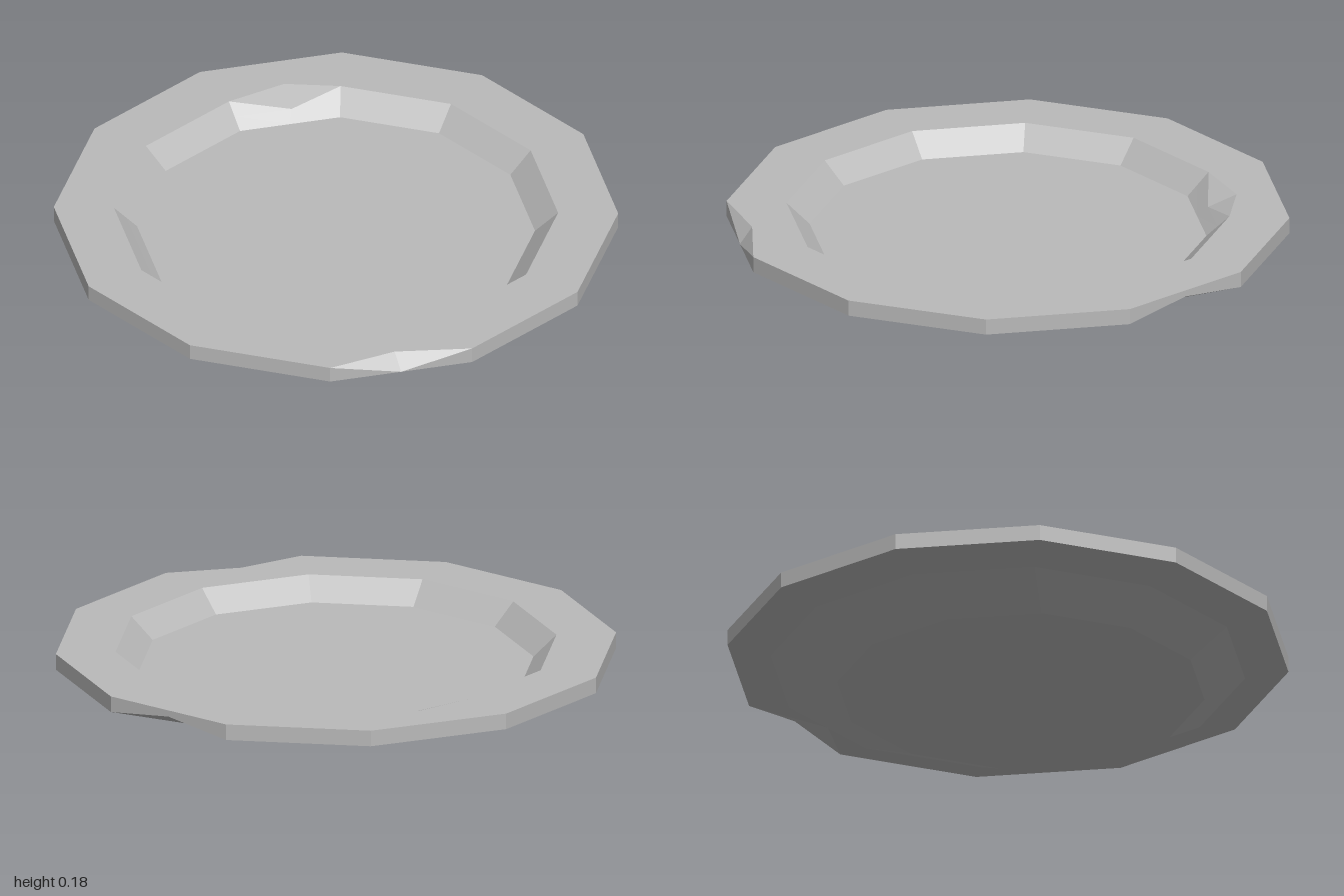
import * as THREE from 'three';

const SIDES = 12;
const COUNT = SIDES * 2; // corners plus edge midpoints, so edges can be chipped

// Twelve-sided ring with a midpoint on every edge
function ring(radius, y, cx = 0, cz = 0) {
  const corner = (j) => {
    const a = (j / SIDES) * Math.PI * 2;
    return new THREE.Vector3(cx + radius * Math.cos(a), y, cz + radius * Math.sin(a));
  };
  const points = [];
  for (let j = 0; j < SIDES; j++) {
    points.push(corner(j), corner(j).lerp(corner(j + 1), 0.5));
  }
  return points;
}

export function createModel() {
  const stone = new THREE.MeshStandardMaterial({ color: 0xb9b9b9, flatShading: true });
  stone.name = 'grey stoneware';

  // Cross-section from the floor, over the rim and down to the base
  const rings = [
    ring(0.705, 0.1),
    ring(0.745, 0.138),
    ring(0.787, 0.178),
    ring(1, 0.178),
    ring(1, 0.12),
    ring(0.845, 0.086),
    ring(0.655, 0, -0.015, 0.045),
  ];

  // Chips: top of the rim at the front, underside at the side, inner edge at the back
  rings[3][7].set(-0.25, 0.178, 0.885);
  rings[4][23].y = 0.155;
  rings[2][19].set(0.225, 0.178, -0.79);
  rings[1][19].set(0.2, 0.138, -0.69);

  const build = (name, triangles) => {
    const geometry = new THREE.BufferGeometry().setFromPoints(triangles);
    geometry.computeVertexNormals();
    const mesh = new THREE.Mesh(geometry, stone);
    mesh.name = name;
    return mesh;
  };

  // Strip of faces between neighbouring rings; folds run towards the chipped points
  const strip = (from, to) => {
    const out = [];
    for (let i = from; i < to; i++) {
      for (let k = 0; k < COUNT; k++) {
        const n = (k + 1) % COUNT;
        const [a0, a1, b0, b1] = [rings[i][k], rings[i][n], rings[i + 1][k], rings[i + 1][n]];
        const foldForward = (k % 2 === 0) !== (i < 2);
        if (foldForward) out.push(a0, a1, b1, a0, b1, b0);
        else out.push(a0, a1, b0, a1, b1, b0);
      }
    }
    return out;
  };

  // Flat disc closing a ring, facing up or down
  const cap = (points, centre, up) => {
    const out = [];
    points.forEach((p, k) => {
      const q = points[(k + 1) % COUNT];
      out.push(centre, up ? q : p, up ? p : q);
    });
    return out;
  };

  const plate = new THREE.Group();
  plate.name = 'plate';
  plate.add(
    build('floor', cap(rings[0], new THREE.Vector3(0, 0.1, 0), true)),
    build('innerWall', strip(0, 2)),
    build('rim', strip(2, 4)),
    build('underside', strip(4, 6)),
    build('base', cap(rings[6], new THREE.Vector3(-0.015, 0, 0.045), false)),
  );
  return plate;
}
